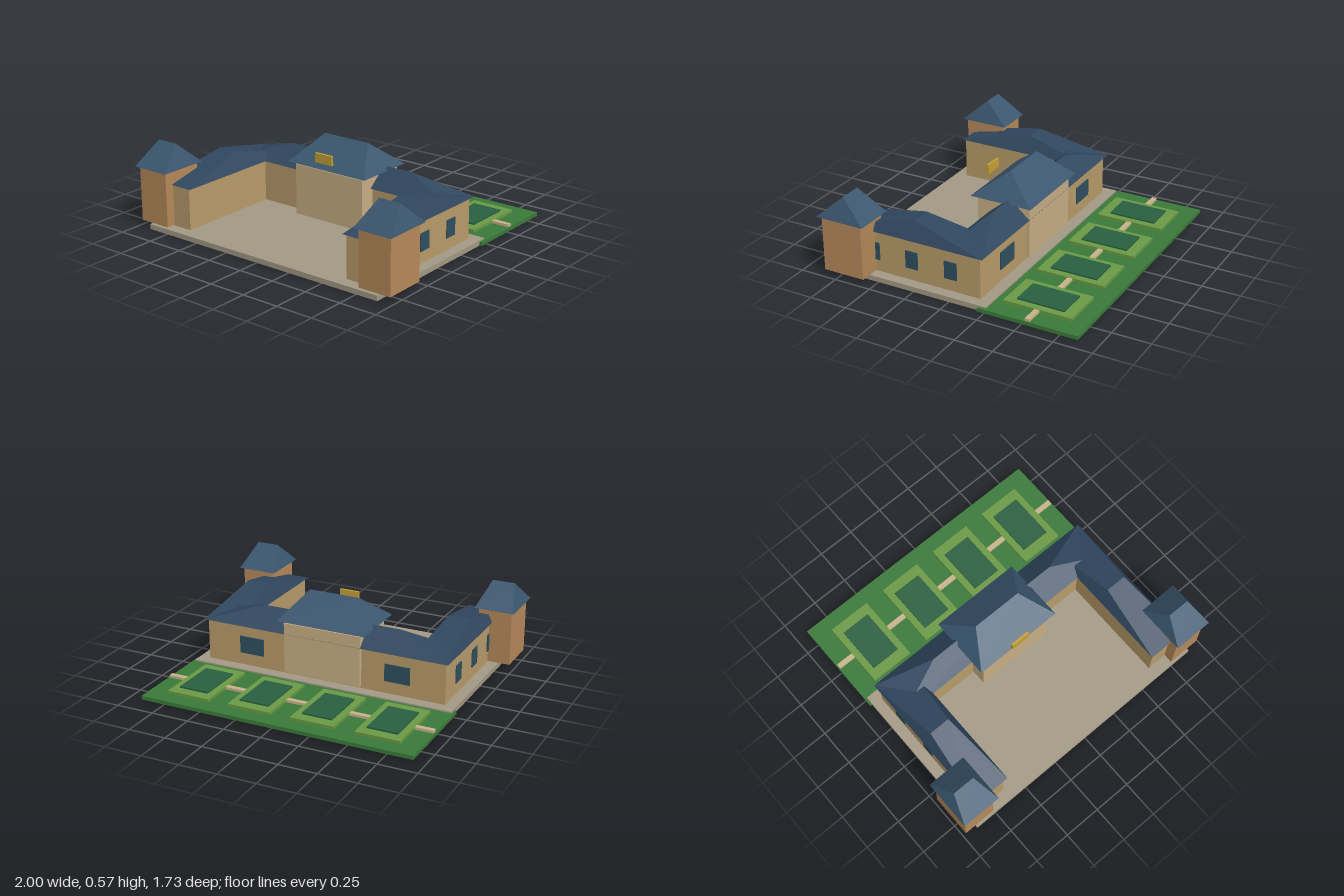
import * as THREE from 'three';

const mats = {};
const material = (color) => (mats[color] ??= new THREE.MeshStandardMaterial({ color, flatShading: true }));

const WALL = 0xb89b6a, PAVILION = 0xc8ae84, TOWER = 0xb5895a;
const ROOF = 0x3a566f, WING_ROOF = 0x30475f, GLASS = 0x2f4f5f;

// Box given by its [min, max] along each axis
function box(name, color, [x0, x1], [y0, y1], [z0, z1]) {
  const mesh = new THREE.Mesh(new THREE.BoxGeometry(x1 - x0, y1 - y0, z1 - z0), material(color));
  mesh.position.set((x0 + x1) / 2, (y0 + y1) / 2, (z0 + z1) / 2);
  mesh.name = name;
  return mesh;
}

// Hip roof whose ridge runs along x and spans 56% of the eaves
function hipRoof(name, color, [x0, x1], [y0, y1], [z0, z1]) {
  const w = (x1 - x0) / 2, d = (z1 - z0) / 2, h = y1 - y0, r = w * 0.56;
  const geometry = new THREE.BufferGeometry();
  geometry.setAttribute('position', new THREE.Float32BufferAttribute([
    -w, 0, d, w, 0, d, w, 0, -d, -w, 0, -d, // eaves
    -r, h, 0, r, h, 0, // ridge
  ], 3));
  geometry.setIndex([
    0, 1, 5, 0, 5, 4, // front slope
    2, 3, 4, 2, 4, 5, // back slope
    1, 2, 5, 3, 0, 4, // hips
    0, 3, 2, 0, 2, 1, // underside
  ]);
  const flat = geometry.toNonIndexed();
  flat.computeVertexNormals();
  const mesh = new THREE.Mesh(flat, material(color));
  mesh.position.set((x0 + x1) / 2, y0, (z0 + z1) / 2);
  mesh.name = name;
  return mesh;
}

// Orders a range after mirroring it to side s
const side = (s, a, b) => (s > 0 ? [a, b] : [-b, -a]);

function createGarden() {
  const garden = new THREE.Group();
  garden.name = 'garden';
  garden.add(box('lawn', 0x3a7a3a, [-0.915, 0.915], [0, 0.025], [-0.866, -0.202]));
  garden.add(box('gardenPath', 0xc8b48a, [-0.908, 0.908], [0.024, 0.042], [-0.552, -0.519]));
  for (let i = 0; i < 4; i++) {
    const x = (i - 1.5) * 0.428;
    garden.add(box('flowerBed', 0x6b9a45, [x - 0.146, x + 0.146], [0.024, 0.044], [-0.763, -0.308]));
    garden.add(box('hedge', 0x2a6040, [x - 0.1, x + 0.1], [0.04, 0.054], [-0.693, -0.378]));
  }
  return garden;
}

// Side wing with its corner tower and windows
function createSideWing(s) {
  const wing = new THREE.Group();
  wing.name = s > 0 ? 'leftWing' : 'rightWing';
  wing.add(box('wingWalls', WALL, side(s, 0.62, 0.83), [0.035, 0.311], [-0.18, 0.775]));
  wing.add(hipRoof('wingRoof', WING_ROOF, side(s, 0.6, 0.85), [0.311, 0.425], [-0.203, 0.788]));
  for (const z of [0.024, 0.297, 0.57]) {
    wing.add(box('sideWindow', GLASS, side(s, 0.825, 0.837), [0.115, 0.231], [z - 0.043, z + 0.043]));
  }
  wing.add(box('backWindow', GLASS, side(s, 0.425, 0.595), [0.118, 0.233], [-0.187, -0.175]));
  wing.add(box('towerWalls', TOWER, side(s, 0.757, 0.98), [0.04, 0.395], [0.557, 0.838]));
  wing.add(hipRoof('towerRoof', ROOF, side(s, 0.735, 1), [0.403, 0.551], [0.532, 0.864]));
  return wing;
}

export function createModel() {
  const model = new THREE.Group();
  model.name = 'palace';

  // Grounds
  model.add(box('courtyardBase', 0xa39a85, [-0.9, 0.9], [0, 0.034], [-0.254, 0.852]));
  model.add(createGarden());

  // Back range
  model.add(box('backRangeWalls', WALL, [-0.829, 0.829], [0.035, 0.31], [-0.179, 0.055]));
  model.add(hipRoof('backRangeRoof', WING_ROOF, [-0.85, 0.85], [0.31, 0.426], [-0.204, 0.076]));

  // Central pavilion with its gilded panel
  model.add(box('pavilionWalls', PAVILION, [-0.265, 0.265], [0.05, 0.386], [-0.203, 0.162]));
  model.add(hipRoof('pavilionRoof', ROOF, [-0.304, 0.304], [0.403, 0.567], [-0.23, 0.193]));
  model.add(box('gildedPanel', 0xc4a035, [-0.066, 0.066], [0.452, 0.514], [0.197, 0.213]));

  for (const s of [-1, 1]) model.add(createSideWing(s));
  return model;
}
